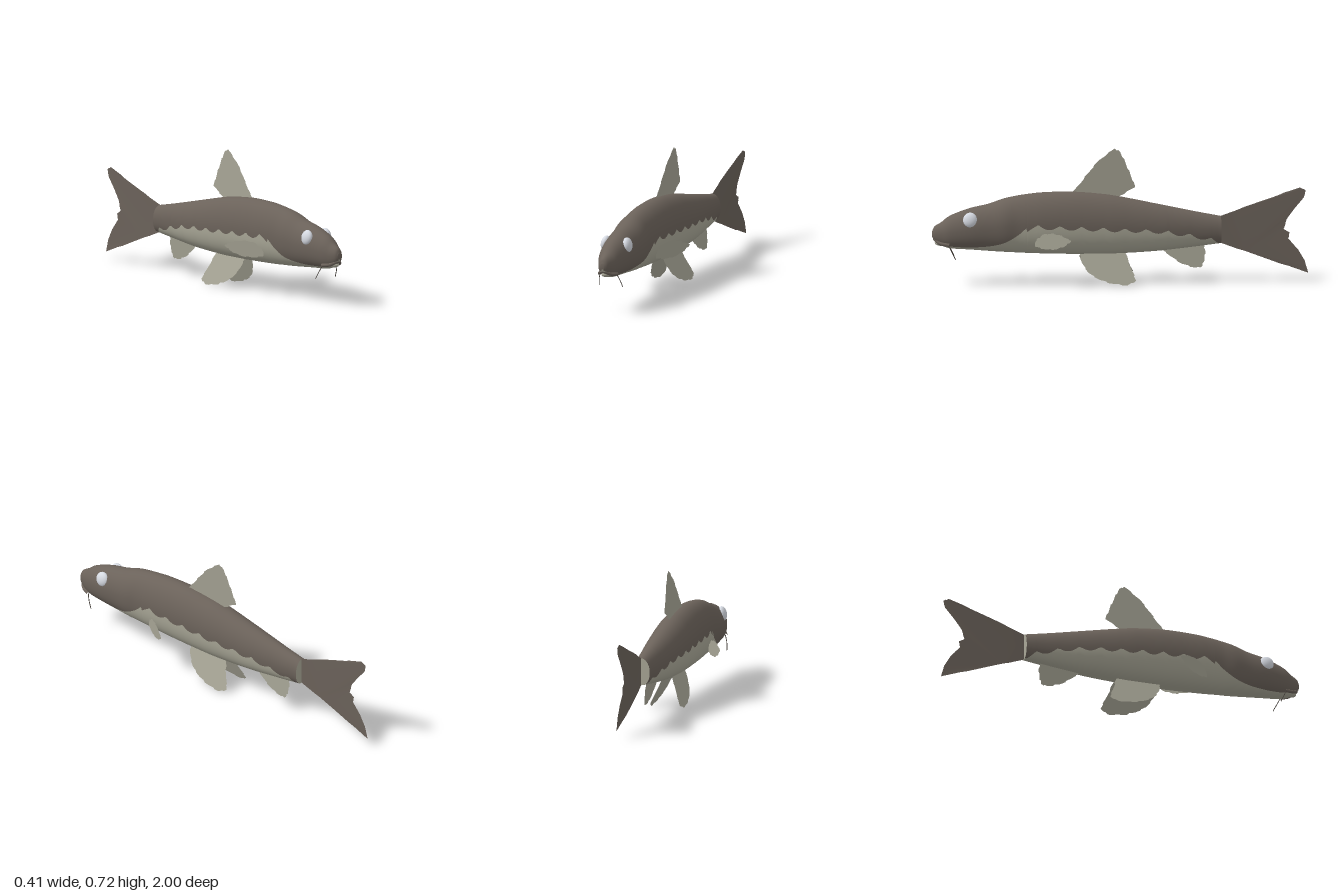
import * as THREE from 'three';

const mat = (name, color, side = THREE.FrontSide) => {
  const m = new THREE.MeshStandardMaterial({ color, side });
  m.name = name;
  return m;
};

// Body stations from snout to tail: z, top y, bottom y, half width, colour border y
const STATIONS = [
  [0.998, 0.300, 0.268, 0.012, 0.262], [0.985, 0.325, 0.245, 0.026, 0.255],
  [0.95, 0.347, 0.222, 0.043, 0.238], [0.9, 0.383, 0.207, 0.061, 0.222],
  [0.8, 0.420, 0.200, 0.079, 0.218], [0.7, 0.443, 0.192, 0.087, 0.225],
  [0.62, 0.470, 0.186, 0.095, 0.245], [0.55, 0.485, 0.182, 0.093, 0.285],
  [0.48, 0.495, 0.178, 0.097, 0.340], [0.4, 0.502, 0.175, 0.101, 0.340],
  [0.25, 0.504, 0.171, 0.103, 0.335], [0.1, 0.491, 0.170, 0.102, 0.328],
  [0, 0.475, 0.172, 0.099, 0.322], [-0.2, 0.433, 0.183, 0.084, 0.310],
  [-0.4, 0.391, 0.204, 0.061, 0.278], [-0.535, 0.365, 0.220, 0.047, 0.240],
];

function bodyGeometry() {
  const spline = (pick) => new THREE.CatmullRomCurve3(
    STATIONS.map((s) => new THREE.Vector3(...pick(s))), false, 'catmullrom', 0.5);
  const spine = spline((s) => [s[0], s[1], s[2]]);
  const girth = spline((s) => [s[3], s[4], 0]);
  const RINGS = 180, UP = 30, LOW = 20, N = UP + LOW;
  const pos = [], dark = [], pale = [];
  const bend = (v, p) => Math.sign(v) * Math.abs(v) ** (2 / p);

  for (let i = 0; i <= RINGS; i++) {
    const a = spine.getPoint(i / RINGS), b = girth.getPoint(i / RINGS);
    const [z, top, bottom] = [a.x, a.y, a.z];
    const mid = (top + bottom) / 2, h = (top - bottom) / 2;
    // scalloped lower edge of the dark back
    const wave = z < 0.5 ? 0.024 * Math.abs(Math.sin(Math.PI * (z + 0.02) / 0.115)) : 0;
    const s = THREE.MathUtils.clamp((b.y - wave - mid) / h, -0.96, 0.9);
    const edge = Math.asin(Math.sign(s) * Math.abs(s) ** (s < 0 ? 1.15 : 1));
    for (let j = 0; j < N; j++) {
      const t = j < UP
        ? edge + (Math.PI - 2 * edge) * j / UP
        : Math.PI - edge + (Math.PI + 2 * edge) * (j - UP) / LOW;
      const p = Math.sin(t) < 0 ? 2.3 : 2;
      pos.push(b.x * bend(Math.cos(t), p), mid + h * bend(Math.sin(t), p), z);
    }
  }
  for (let i = 0; i < RINGS; i++) {
    for (let j = 0; j < N; j++) {
      const k = (j + 1) % N, a = i * N + j, b = a + N, c = i * N + k, d = c + N;
      (j < UP ? dark : pale).push(a, b, c, b, d, c);
    }
  }
  // rounded snout tip and flat tail end
  const tip = pos.length / 3;
  pos.push(0, 0.284, 1.0);
  for (let j = 0; j < N; j++) dark.push(tip, j, (j + 1) % N);
  const end = tip + 1;
  pos.push(...pos.slice(RINGS * N * 3, (RINGS + 1) * N * 3), 0, 0.2925, -0.535);
  for (let j = 0; j < N; j++) pale.push(end + N, end + (j + 1) % N, end + j);

  const g = new THREE.BufferGeometry();
  g.setAttribute('position', new THREE.Float32BufferAttribute(pos, 3));
  g.setIndex([...dark, ...pale]);
  g.addGroup(0, dark.length, 0);
  g.addGroup(dark.length, pale.length, 1);
  g.computeVertexNormals();
  return g;
}

// Flat fin from an outline: straight corners, finely toothed margin, placed by a rule
function finGeometry(points, place, teeth = 0.004) {
  const pts = points.map(([u, v]) => new THREE.Vector2(u, v));
  const mid = pts.reduce((m, p) => m.add(p), new THREE.Vector2()).divideScalar(pts.length);
  const outline = [];
  pts.forEach((p, i) => {
    const q = pts[(i + 1) % pts.length];
    outline.push(p);
    if (i === pts.length - 1) return; // root edge stays straight
    for (const f of [0.42, 0.58]) {
      const r = p.clone().lerp(q, f);
      const out = r.clone().sub(mid).normalize();
      outline.push(r.addScaledVector(out, f < 0.5 ? -teeth * 0.5 : teeth));
    }
  });
  const g = new THREE.ShapeGeometry(new THREE.Shape(outline));
  const a = g.attributes.position;
  for (let i = 0; i < a.count; i++) a.setXYZ(i, ...place(a.getX(i), a.getY(i)));
  g.computeVertexNormals();
  return g;
}

export function createModel() {
  const fish = new THREE.Group();
  fish.name = 'fish';
  const back = mat('brown back', 0x6b625a);
  const belly = mat('pale belly', 0xa9a797);
  const finPale = mat('pale fin', 0xa5a394, THREE.DoubleSide);
  const finDark = mat('brown fin', 0x6b625a, THREE.DoubleSide);
  const white = mat('eye white', 0xd6dae2);
  const barbelDark = mat('barbel', 0x4a443e);

  const add = (name, geometry, material) => {
    const m = new THREE.Mesh(geometry, material);
    m.name = name;
    fish.add(m);
    return m;
  };

  add('body', bodyGeometry(), [back, belly]);

  // Fins along the midline, outlines as (z, y)
  add('dorsalFin', finGeometry(
    [[0.26, 0.495], [0.21, 0.55], [0.17, 0.605], [0.11, 0.675], [0.03, 0.735], [0, 0.715],
      [-0.03, 0.65], [-0.055, 0.59], [-0.08, 0.525], [0.02, 0.47]],
    (z, y) => [(y - 0.49) * 0.05, y, z]), finPale);
  add('analFin', finGeometry(
    [[-0.22, 0.19], [-0.27, 0.15], [-0.33, 0.11], [-0.4, 0.09], [-0.435, 0.096],
      [-0.447, 0.14], [-0.452, 0.18], [-0.44, 0.22]],
    (z, y) => [(0.2 - y) * 0.1, y, z]), finPale);
  add('tailFin', finGeometry(
    [[-0.53, 0.364], [-0.75, 0.442], [-0.955, 0.514], [-0.985, 0.498], [-0.975, 0.46],
      [-0.925, 0.40], [-0.885, 0.345], [-0.868, 0.29], [-0.9, 0.272], [-0.892, 0.24],
      [-0.945, 0.18], [-0.98, 0.12], [-0.998, 0.055], [-0.75, 0.142], [-0.53, 0.222]],
    (z, y) => [0.005 * Math.sin((z + 0.53) * 8), y, z], 0.002), finDark);

  for (const side of [1, -1]) {
    const tag = side > 0 ? 'left' : 'right';

    // Paired fins: pelvic as (z, y), pectoral as (x, y)
    add(tag + 'PelvicFin', finGeometry(
      [[0.22, 0.185], [0.205, 0.125], [0.17, 0.075], [0.11, 0.04], [0.04, 0.02], [-0.035, 0.012],
        [-0.08, 0.035], [-0.06, 0.085], [-0.02, 0.185]],
      (z, y) => [side * (0.025 + (0.17 - y) * 0.41), y, z]), finPale);
    add(tag + 'PectoralFin', finGeometry(
      [[0.085, 0.225], [0.12, 0.215], [0.155, 0.221], [0.185, 0.245], [0.203, 0.274],
        [0.185, 0.286], [0.163, 0.3], [0.135, 0.302], [0.11, 0.293], [0.085, 0.252]],
      (x, y) => [side * x, y, 0.45 - (x - 0.09) * 1.58], 0.003), finPale);

    const eye = add(tag + 'Eye', new THREE.SphereGeometry(1, 28, 18), white);
    eye.scale.set(0.023, 0.04, 0.038);
    eye.position.set(side * 0.063, 0.367, 0.8);
    eye.rotation.z = side * 0.2;

    // Barbel hanging from the mouth corner
    const path = new THREE.CatmullRomCurve3([
      new THREE.Vector3(side * 0.046, 0.232, 0.915),
      new THREE.Vector3(side * 0.058, 0.2, 0.9),
      new THREE.Vector3(side * 0.067, 0.156, 0.878)]);
    add(tag + 'Barbel', new THREE.TubeGeometry(path, 10, 0.0022, 6), barbelDark);
  }

  // Mouth: brown upper lip over a small pale lower lip
  const lip = new THREE.CatmullRomCurve3([[-0.05, 0.23, 0.91], [-0.032, 0.238, 0.958],
    [0, 0.256, 0.985], [0.032, 0.238, 0.958], [0.05, 0.23, 0.91]]
    .map((p) => new THREE.Vector3(...p)));
  add('upperLip', new THREE.TubeGeometry(lip, 24, 0.009, 8), back);
  const lower = add('lowerLip', new THREE.SphereGeometry(1, 20, 12), belly);
  lower.scale.set(0.022, 0.016, 0.035);
  lower.position.set(0, 0.236, 0.95);

  return fish;
}
